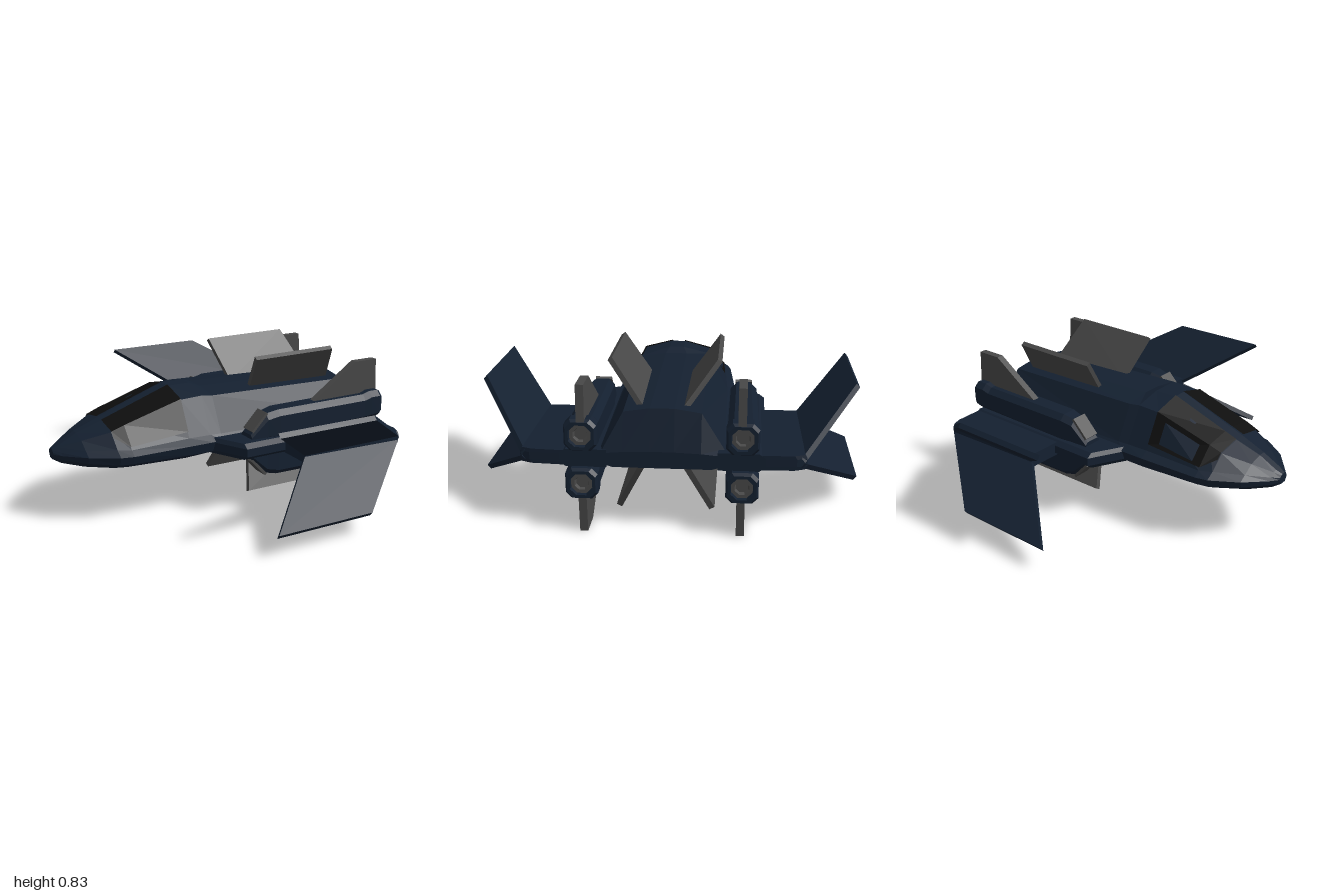
import * as THREE from 'three';
import { ConvexGeometry } from 'three/addons/geometries/ConvexGeometry.js';

const material = (color) => new THREE.MeshStandardMaterial({ color, flatShading: true, side: THREE.DoubleSide });
const navy = material(0x142030);
const grey = material(0x484848);
const glass = material(0x0e0e0e);

function part(name, geometry, mat) {
  const mesh = new THREE.Mesh(geometry, mat);
  mesh.name = name;
  return mesh;
}

function fromTriangles(positions) {
  const g = new THREE.BufferGeometry();
  g.setAttribute('position', new THREE.Float32BufferAttribute(positions, 3));
  g.computeVertexNormals();
  return g;
}

// Skin a list of rings of [x, y, z] points, capped at both ends.
function loft(rings) {
  const pos = [];
  const tri = (a, b, c) => pos.push(...a, ...b, ...c);
  const n = rings[0].length;
  for (let i = 0; i < rings.length - 1; i++) {
    const a = rings[i], b = rings[i + 1];
    for (let j = 0; j < n; j++) {
      const k = (j + 1) % n;
      tri(a[j], a[k], b[k]);
      tri(a[j], b[k], b[j]);
    }
  }
  const first = rings[0], last = rings[rings.length - 1];
  for (let j = 1; j < n - 1; j++) {
    tri(first[0], first[j + 1], first[j]);
    tri(last[0], last[j], last[j + 1]);
  }
  return fromTriangles(pos);
}

// Thin flat panel through coplanar corner points.
function plate(corners, thickness) {
  const p = corners.map((c) => new THREE.Vector3(...c));
  const normal = p[1].clone().sub(p[0]).cross(p[2].clone().sub(p[0])).normalize();
  const points = [];
  for (const v of p) {
    for (const s of [-0.5, 0.5]) points.push(v.clone().addScaledVector(normal, s * thickness));
  }
  return new ConvexGeometry(points);
}

// Slab from an [x, z] outline, with its upper and lower edges drawn in.
function slab(outline, y0, y1, inset) {
  const mid = (y0 + y1) / 2, h = (y1 - y0) / 2;
  const points = [];
  for (const [x, z] of outline) {
    points.push(new THREE.Vector3(x, mid - h * 0.5, z), new THREE.Vector3(x, mid + h * 0.5, z));
    points.push(new THREE.Vector3(x, y0, z - inset), new THREE.Vector3(x, y1, z - inset));
  }
  return new ConvexGeometry(points);
}

// Fuselage half sections: x, then (z, y) pairs from the ridge to the belly.
const sections = [
  [-0.925, 0.01, 0.41, 0.02, 0.405, 0.03, 0.395, 0.035, 0.385, 0.03, 0.37, 0.02, 0.355],
  [-0.89, 0.02, 0.428, 0.04, 0.42, 0.065, 0.4, 0.08, 0.385, 0.075, 0.36, 0.05, 0.338],
  [-0.79, 0.02, 0.48, 0.1, 0.46, 0.16, 0.42, 0.2, 0.395, 0.19, 0.36, 0.13, 0.325],
  [-0.65, 0.03, 0.53, 0.17, 0.505, 0.25, 0.43, 0.295, 0.4, 0.28, 0.355, 0.2, 0.315],
  [-0.58, 0.03, 0.555, 0.175, 0.53, 0.275, 0.425, 0.31, 0.4, 0.295, 0.355, 0.215, 0.313],
  [-0.25, 0.04, 0.672, 0.19, 0.63, 0.29, 0.44, 0.335, 0.41, 0.32, 0.355, 0.24, 0.312],
  [-0.12, 0.04, 0.672, 0.19, 0.635, 0.295, 0.44, 0.335, 0.41, 0.32, 0.355, 0.24, 0.318],
  [-0.06, 0.06, 0.65, 0.2, 0.63, 0.3, 0.44, 0.33, 0.41, 0.31, 0.355, 0.24, 0.32],
  [0.83, 0.06, 0.63, 0.19, 0.61, 0.3, 0.43, 0.32, 0.41, 0.31, 0.355, 0.24, 0.32],
  [0.88, 0.06, 0.425, 0.19, 0.42, 0.3, 0.41, 0.32, 0.4, 0.31, 0.36, 0.24, 0.34],
];

function fuselageRing(s) {
  const half = [];
  for (let i = 1; i < s.length; i += 2) half.push([s[0], s[i + 1], s[i]]);
  return [...half, ...half.map(([x, y, z]) => [x, y, -z]).reverse()];
}

// Dark glazing that follows the upper hull, just outside it.
function canopyPanel() {
  const rows = [[3, 0.2], [4, 0.265], [5, 0.275]].map(([i, zLow]) => {
    const s = sections[i];
    const t = (zLow - s[3]) / (s[5] - s[3]);
    const yLow = s[4] + t * (s[6] - s[4]);
    return [[0.03, s[2]], [s[3], s[4]], [zLow, yLow]].map(([z, y]) => [s[0], y + 0.006, z + 0.005]);
  });
  const pos = [];
  for (let i = 0; i < 2; i++) {
    for (let j = 0; j < 2; j++) {
      const a = rows[i][j], b = rows[i][j + 1], c = rows[i + 1][j + 1], d = rows[i + 1][j];
      pos.push(...a, ...b, ...c, ...a, ...c, ...d);
    }
  }
  return fromTriangles(pos);
}

// Box ring with chamfered corners, for the engines.
const ENGINE_Z = 0.39;
function engineRing(x, hw, y0, y1) {
  const c = Math.min(0.03, (y1 - y0) * 0.3);
  return [
    [hw - c, y1], [hw, y1 - c], [hw, y0 + c], [hw - c, y0],
    [c - hw, y0], [-hw, y0 + c], [-hw, y1 - c], [c - hw, y1],
  ].map(([z, y]) => [x, y, ENGINE_Z + z]);
}

function createEngine() {
  const g = new THREE.Group();
  // Nacelle with a sloped nose and a recessed nozzle
  g.add(part('engineNacelle', loft([
    engineRing(0.05, 0.055, 0.4, 0.45),
    engineRing(0.15, 0.06, 0.4, 0.555),
    engineRing(0.22, 0.07, 0.4, 0.57),
    engineRing(0.8, 0.075, 0.42, 0.575),
    engineRing(0.84, 0.08, 0.425, 0.59),
    engineRing(0.9, 0.08, 0.43, 0.59),
    engineRing(0.92, 0.07, 0.44, 0.58),
    engineRing(0.92, 0.055, 0.455, 0.565),
    engineRing(0.87, 0.05, 0.46, 0.56),
  ]), navy));
  g.add(part('engineNozzle', loft([
    engineRing(0.86, 0.045, 0.465, 0.555),
    engineRing(0.9, 0.052, 0.458, 0.562),
    engineRing(0.9, 0.035, 0.475, 0.545),
    engineRing(0.88, 0.03, 0.48, 0.54),
  ]), grey));
  g.add(part('engineIntake', plate([
    [0.06, 0.465, 0.345], [0.06, 0.465, 0.435], [0.15, 0.56, 0.435], [0.15, 0.56, 0.345],
  ], 0.015), grey));
  // Upright tail fin
  const z = 0.385;
  g.add(part('engineFin', plate([
    [0.47, 0.565, z], [0.76, 0.765, z], [0.905, 0.765, z], [0.918, 0.57, z],
  ], 0.04), grey));
  return g;
}

function createSide() {
  const side = new THREE.Group();
  side.add(part('canopyPanel', canopyPanel(), glass));

  // Shoulder and wing root
  side.add(part('shoulder', slab([[-0.12, 0.32], [-0.02, 0.51], [0.88, 0.5], [0.88, 0.3]], 0.338, 0.428, 0.03), navy));
  side.add(part('wingRoot', slab([[0.225, 0.48], [0.225, 0.69], [0.85, 0.7], [0.87, 0.65], [0.88, 0.48]], 0.345, 0.42, 0.01), navy));

  // Forward-swept split wing
  side.add(part('upperWing', plate([
    [0.225, 0.395, 0.68], [0.865, 0.395, 0.68], [0.44, 0.642, 0.975], [-0.135, 0.642, 0.975],
  ], 0.028), navy));
  side.add(part('lowerWing', plate([
    [0.225, 0.37, 0.68], [0.865, 0.37, 0.68], [0.44, 0.125, 0.99], [-0.135, 0.125, 0.99],
  ], 0.028), navy));

  // Canted stabilisers above and below the hull
  side.add(part('upperStabiliser', plate([
    [0.23, 0.6, 0.1], [0.77, 0.6, 0.1], [0.685, 0.83, 0.27], [0.175, 0.825, 0.27],
  ], 0.026), grey));
  side.add(part('lowerStabiliser', plate([
    [0.24, 0.34, 0.09], [0.77, 0.34, 0.09], [0.675, 0.035, 0.24], [0.155, 0.035, 0.24],
  ], 0.03), grey));

  // Engine above the wing and its mirror below
  const upper = createEngine();
  upper.name = 'upperEngine';
  const lower = createEngine();
  lower.name = 'lowerEngine';
  lower.scale.y = -1;
  lower.position.y = 0.768;
  side.add(upper, lower);
  return side;
}

export function createModel() {
  const model = new THREE.Group();
  model.name = 'spacecraft';
  model.add(part('fuselage', loft(sections.map(fuselageRing)), navy));
  for (const s of [1, -1]) {
    const side = createSide();
    side.name = s > 0 ? 'frontSide' : 'backSide';
    side.scale.z = s;
    model.add(side);
  }
  return model;
}
